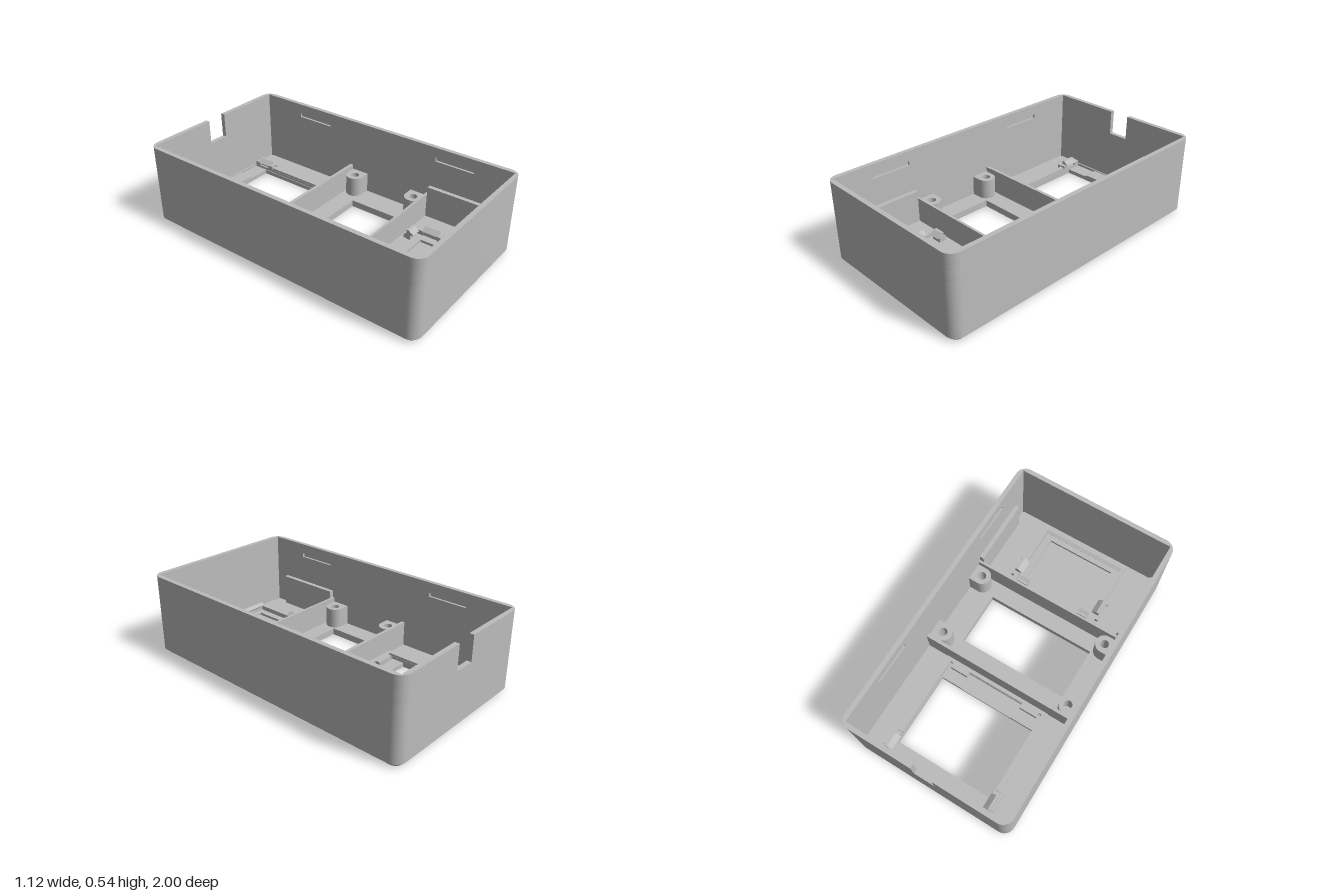
import * as THREE from 'three';
import { toCreasedNormals } from 'three/addons/utils/BufferGeometryUtils.js';

const W = 0.56, L = 1, H = 0.54, R = 0.07;   // outer half width, half length, height, corner radius
const IW = 0.53, IL = 0.97;                  // inner half width and half length
const CH = 0.022, FLOOR = 0.045;             // bottom chamfer, floor top

export function createModel() {
  const group = new THREE.Group();
  const grey = new THREE.MeshStandardMaterial({ color: 0xbcbcbc });
  grey.name = 'plasticGrey';

  const add = (name, geo) => {
    const m = new THREE.Mesh(geo, grey);
    m.name = name;
    group.add(m);
    return m;
  };
  // Box given by its limits
  const box = (name, x0, x1, y0, y1, z0, z1) =>
    add(name, new THREE.BoxGeometry(x1 - x0, y1 - y0, z1 - z0))
      .position.set((x0 + x1) / 2, (y0 + y1) / 2, (z0 + z1) / 2);
  // The same box on both sides
  const pair = (name, x0, x1, ...rest) => {
    box(name + 'Left', x0, x1, ...rest);
    box(name + 'Right', -x1, -x0, ...rest);
  };
  // Plan shapes use (x, -z); extruded upwards from y0 to y1
  const rise = (shape, y0, y1) => {
    const g = new THREE.ExtrudeGeometry(shape, { depth: y1 - y0, bevelEnabled: false, curveSegments: 24 });
    g.rotateX(-Math.PI / 2).translate(0, y0, 0);
    return toCreasedNormals(g, 0.6);
  };
  const v = (x, z) => new THREE.Vector2(x, -z);
  const rect = (x0, x1, z0, z1) => [v(x0, z0), v(x0, z1), v(x1, z1), v(x1, z0)];

  // Rounded outline, starting at the back corner on the -x side
  const outline = (inset) => {
    const pts = [], r = R - inset, n = 10;
    [[-1, 1], [-1, -1], [1, -1], [1, 1]].forEach(([sx, sy], k) => {
      for (let i = 0; i <= n; i++) {
        const a = (k + 1 + i / n) * Math.PI / 2;
        pts.push(new THREE.Vector2(sx * (W - R) + r * Math.cos(a), sy * (L - R) + r * Math.sin(a)));
      }
    });
    return pts;
  };

  // Inner outline with optional lid grooves in the long sides
  const inner = (grooved) => {
    const side = [];
    if (grooved) {
      for (const [a, b] of [[-0.67, -0.4], [0.44, 0.71]]) {
        side.push([IW, a], [IW + 0.015, a], [IW + 0.015, b], [IW, b]);
      }
    }
    return [v(IW, -IL), ...side.map(([x, z]) => v(x, z)), v(IW, IL),
      v(-IW, IL), ...side.reverse().map(([x, z]) => v(-x, z)), v(-IW, -IL)];
  };

  // Walls in layers: plain, cable notch, notch with lid grooves, notch
  const N = 0.07;
  const wall = (name, y0, y1, notched, grooved) => {
    let shape;
    if (notched) {
      shape = new THREE.Shape([v(-N, -L), ...outline(0), v(N, -L), v(N, -IL), ...inner(grooved), v(-N, -IL)]);
    } else {
      shape = new THREE.Shape(outline(0));
      shape.holes.push(new THREE.Path(inner(grooved)));
    }
    add(name, rise(shape, y0, y1));
  };
  wall('lowerWall', CH, 0.375, false, false);
  wall('notchedWall', 0.375, 0.445, true, false);
  wall('groovedWall', 0.445, 0.472, true, true);
  wall('upperWall', 0.472, H, true, false);

  // Chamfer around the bottom edge
  const low = outline(CH), high = outline(0), pos = [];
  low.forEach((a, i) => {
    const j = (i + 1) % low.length, b = low[j], c = high[j], d = high[i];
    for (const [p, y] of [[a, 0], [b, 0], [c, CH], [a, 0], [c, CH], [d, CH]]) pos.push(p.x, y, -p.y);
  });
  const skirt = new THREE.BufferGeometry();
  skirt.setAttribute('position', new THREE.Float32BufferAttribute(pos, 3));
  add('bottomChamfer', toCreasedNormals(skirt, 0.6));

  // Floor: two layers, so that the display seat and front pocket are sunk
  const floor = (name, y0, y1, holes) => {
    const s = new THREE.Shape(outline(CH));
    holes.forEach((h) => s.holes.push(new THREE.Path(rect(...h))));
    add(name, rise(s, y0, y1));
  };
  const middleWindow = [-0.4, 0.36, -0.075, 0.29];
  floor('floorBase', 0, 0.028, [[-0.345, 0.34, -0.86, -0.36], middleWindow]);
  floor('floorTop', 0.028, FLOOR, [[-0.345, 0.345, -0.96, -0.25], middleWindow, [-0.24, 0.24, 0.54, 0.87]]);

  // Cross walls and side ribs
  box('backCrossWall', -IW, IW, 0.04, 0.21, -0.222, -0.2);
  box('frontCrossWall', -IW, IW, 0.04, 0.21, 0.4, 0.416);
  pair('sideRib', 0.5, IW + 0.005, 0.04, 0.26, 0.416, 0.87);

  // Screw bosses: round towards the middle, flat into the wall
  for (const sx of [-1, 1]) {
    for (const z of [-0.135, 0.335]) {
      const r = 0.06, s = new THREE.Shape();
      s.moveTo(0.07, r);
      s.lineTo(0, r);
      s.absarc(0, 0, r, Math.PI / 2, Math.PI * 1.5, false);
      s.lineTo(0.07, -r);
      s.closePath();
      s.holes.push(new THREE.Path().absarc(0, 0, 0.028, 0, Math.PI * 2, true));
      const m = add('screwBoss', rise(s, 0.04, 0.18));
      m.position.set(sx * 0.465, 0, z);
      if (sx < 0) m.rotation.y = Math.PI;
    }
  }

  // Snap hook: upright post with a wedge head leaning over the part it holds
  const hook = (name, x, z, len, y, angle) => {
    const s = new THREE.Shape([[0, 0.03], [0.03, 0.03], [0.03, y], [0.012, y], [-0.022, y - 0.025], [0, y - 0.035]]
      .map((p) => new THREE.Vector2(...p)));
    const g = new THREE.ExtrudeGeometry(s, { depth: len, bevelEnabled: false });
    g.translate(0, 0, -len / 2);
    const m = add(name, g);
    m.position.set(x, 0, z);
    m.rotation.y = angle;
  };

  // Back display holder
  pair('displayRail', 0.347, 0.38, 0.03, 0.06, -0.8, -0.225);
  box('displayFrontRail', -0.38, 0.38, 0.03, 0.06, -0.247, -0.222);
  pair('displayTab', 0.2, 0.325, 0.028, 0.06, -0.28, -0.247);
  box('displayStop', -0.18, 0.18, 0.02, 0.04, -0.965, -0.86);
  box('displayLip', -0.18, 0.18, 0.02, 0.036, -0.365, -0.352);
  for (const z of [-0.94, -0.825]) pair('displayPost', 0.345, 0.385, 0.03, 0.07, z - 0.02, z + 0.02);
  pair('displayHookBase', 0.385, 0.405, 0.03, 0.07, -0.92, -0.8);
  hook('displayHookLeft', 0.358, -0.88, 0.1, 0.095, 0);
  hook('displayHookRight', -0.358, -0.88, 0.1, 0.095, Math.PI);

  // Front module holder
  pair('moduleRail', 0.288, 0.313, 0.03, 0.075, 0.65, 0.95);
  box('moduleFrontRail', -0.313, 0.313, 0.03, 0.075, 0.92, 0.95);
  const bar = new THREE.Shape([[0.92, 0.04], [0.92, 0.1], [0.905, 0.1], [0.885, 0.085], [0.905, 0.07], [0.905, 0.04]]
    .map((p) => new THREE.Vector2(-p[0], p[1])).reverse());
  const barGeo = new THREE.ExtrudeGeometry(bar, { depth: 0.58, bevelEnabled: false });
  add('moduleRetainingBar', barGeo.rotateY(Math.PI / 2).translate(-0.29, 0, 0));
  pair('moduleSidePost', 0.288, 0.315, 0.03, 0.075, 0.46, 0.53);
  pair('moduleSidePostFront', 0.288, 0.34, 0.03, 0.075, 0.63, 0.65);
  pair('moduleHookBase', 0.315, 0.335, 0.03, 0.075, 0.5, 0.64);
  pair('moduleCorner', 0.2, 0.31, 0.03, 0.075, 0.44, 0.46);
  for (const s of [1, -1]) {
    hook('moduleSideHook', s * 0.293, 0.58, 0.1, 0.11, s > 0 ? 0 : Math.PI);
    hook('moduleBackHook', s * 0.23, 0.49, 0.07, 0.11, Math.PI / 2);
  }

  return group;
}
